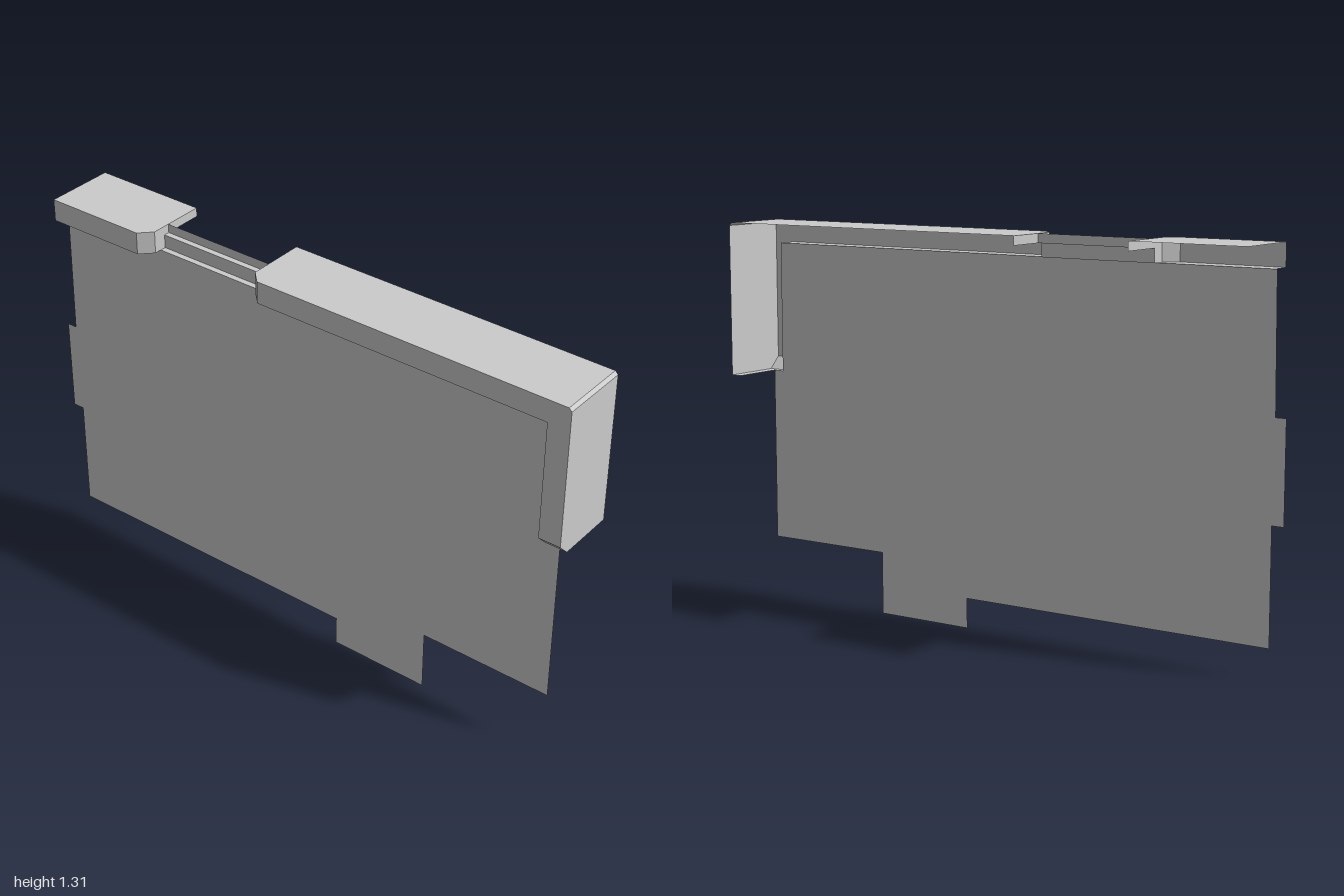
import * as THREE from 'three';

const material = new THREE.MeshStandardMaterial({ color: 0xcccccc, flatShading: true, side: THREE.DoubleSide });

// Flat outline in x and y, placed at depth z
function plate(name, outline, z) {
  const shape = new THREE.Shape(outline.map(([x, y]) => new THREE.Vector2(x, y)));
  const mesh = new THREE.Mesh(new THREE.ShapeGeometry(shape), material);
  mesh.position.z = z;
  mesh.name = name;
  return mesh;
}

// Flat outline in x and z, placed at height y
function deck(name, outline, y) {
  const mesh = plate(name, outline, 0);
  mesh.rotation.x = Math.PI / 2;
  mesh.position.y = y;
  return mesh;
}

// Flat outline in z and y, placed at x
function side(name, outline, x) {
  const mesh = plate(name, outline.map(([z, y]) => [-z, y]), 0);
  mesh.rotation.y = Math.PI / 2;
  mesh.position.x = x;
  return mesh;
}

// Four corners in space joined to a sheet
function quad(name, a, b, c, d) {
  const geometry = new THREE.BufferGeometry();
  geometry.setAttribute('position', new THREE.Float32BufferAttribute([a, b, c, a, c, d].flat(), 3));
  geometry.computeVertexNormals();
  const mesh = new THREE.Mesh(geometry, material);
  mesh.name = name;
  return mesh;
}

export function createModel() {
  const group = new THREE.Group();
  group.name = 'panelWithHood';

  const top = 1.31, lip = 1.235, step = 1.28;
  const front = 0.12, back = -0.12, bevel = 0.08, panelZ = 0.055;
  const endL = -0.955, gapL = -0.56, gapR = -0.155, endR = 0.995, innerR = 0.92, foot = 0.795;

  // Main panel with its tabs
  group.add(plate('panel', [
    [-0.96, 0.1], [0.145, 0.1], [0.145, 0], [0.495, 0], [0.495, 0.21], [0.957, 0.21],
    [0.957, foot], [innerR, foot], [innerR, lip], [endL - 0.005, lip], [-0.965, 0.8],
    [-1, 0.8], [-1, 0.475], [-0.96, 0.475],
  ], panelZ));

  // Hood tops on both sides of the gap
  group.add(deck('leftHoodTop', [
    [endL, back], [gapL, back], [gapL, bevel], [gapL - 0.04, front], [endL, front],
  ], top));
  group.add(deck('rightHoodTop', [
    [gapR, back], [endR - 0.01, back], [endR - 0.01, front], [gapR + 0.04, front], [gapR, bevel],
  ], top));

  // Hood fronts
  group.add(plate('leftHoodFront', [[endL, lip], [gapL - 0.04, lip], [gapL - 0.04, top], [endL, top]], front));
  group.add(plate('rightHoodFront', [
    [gapR + 0.04, lip], [innerR, lip], [innerR, foot + 0.04], [endR, foot + 0.04],
    [endR, top - 0.01], [endR - 0.01, top], [gapR + 0.04, top],
  ], front));

  // Undersides joining the hood fronts to the panel
  group.add(deck('leftHoodLip', [
    [endL, panelZ], [gapL, panelZ], [gapL, bevel], [gapL - 0.04, front], [endL, front],
  ], lip));
  group.add(deck('rightHoodLip', [
    [gapR, panelZ], [innerR, panelZ], [innerR, front], [gapR + 0.04, front], [gapR, bevel],
  ], lip));

  // End walls and cut corners at the gap
  for (const [x, cornerX] of [[gapL, gapL - 0.04], [gapR, gapR + 0.04]]) {
    group.add(side('gapEndWall', [
      [back, top], [bevel, top], [bevel, lip], [panelZ, lip], [0.035, lip], [0.035, step], [back, step],
    ], x));
    group.add(quad('gapCorner', [x, lip, bevel], [cornerX, lip, front], [cornerX, top, front], [x, top, bevel]));
  }

  // Stepped strip bridging the gap
  const profile = [[panelZ, lip], [0.035, lip], [0.035, step], [0.015, step], [0.015, top]];
  for (let i = 0; i < profile.length - 1; i++) {
    const [z0, y0] = profile[i], [z1, y1] = profile[i + 1];
    group.add(quad('gapStep', [gapL, y0, z0], [gapR, y0, z0], [gapR, y1, z1], [gapL, y1, z1]));
  }

  // Side cover with a cut lower front corner
  group.add(side('sideCover', [
    [back, top - 0.01], [back, foot], [bevel, foot], [front, foot + 0.04], [front, top - 0.01],
  ], endR));
  group.add(quad('sideTopBevel', [endR, top - 0.01, front], [endR, top - 0.01, back],
    [endR - 0.01, top, back], [endR - 0.01, top, front]));
  group.add(side('sideCoverReturn', [
    [panelZ, lip], [panelZ, foot], [bevel, foot], [front, foot + 0.04], [front, lip],
  ], innerR));
  group.add(quad('sideFootBevel', [innerR, foot, bevel], [endR, foot, bevel],
    [endR, foot + 0.04, front], [innerR, foot + 0.04, front]));
  group.add(deck('sideFoot', [
    [0.957, back], [endR, back], [endR, bevel], [innerR, bevel], [innerR, panelZ], [0.957, panelZ],
  ], foot));

  return group;
}
